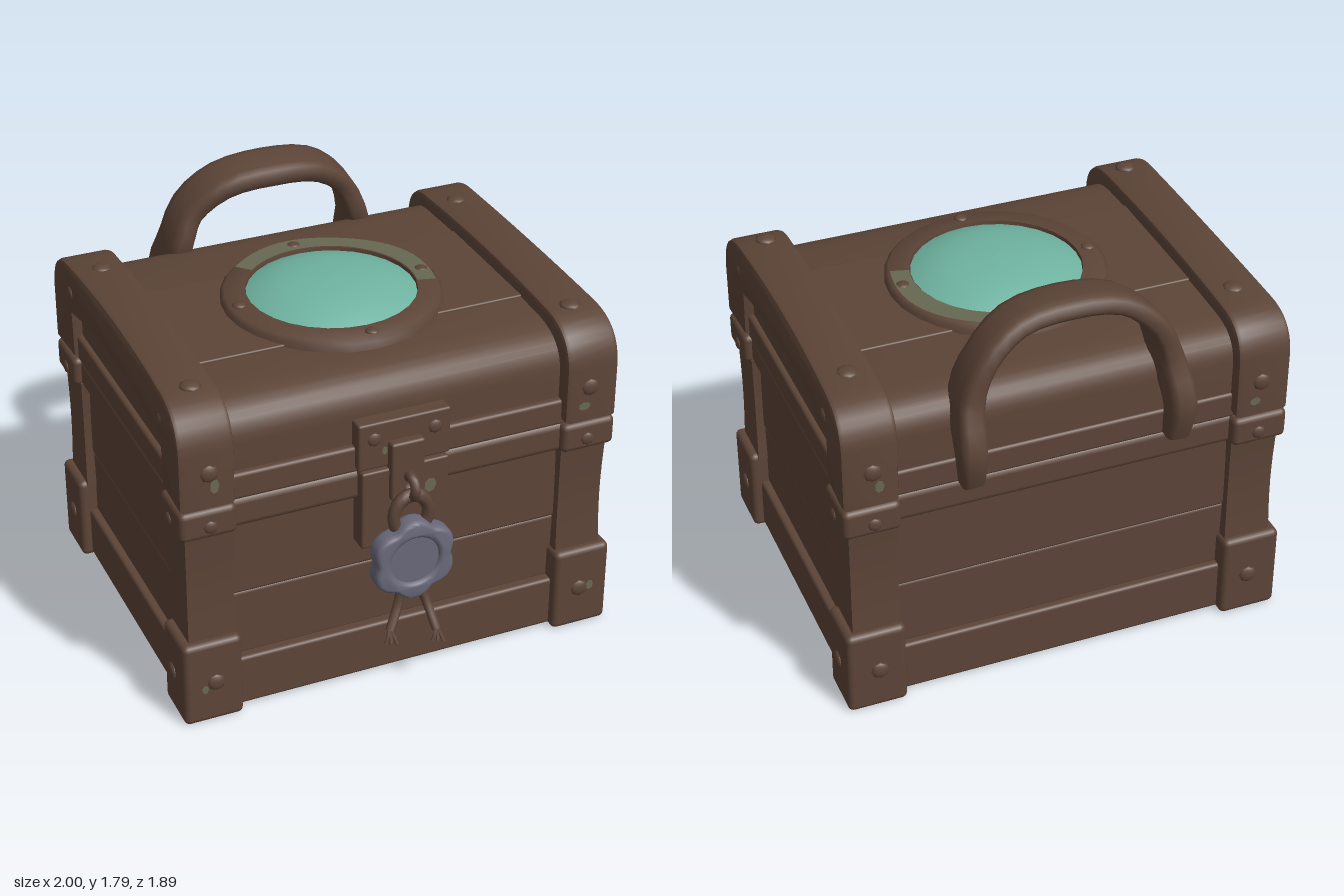
import * as THREE from 'three';
import { toCreasedNormals } from 'three/addons/utils/BufferGeometryUtils.js';
import { RoundedBoxGeometry } from 'three/addons/geometries/RoundedBoxGeometry.js';

export function createModel() {
  const chest = new THREE.Group();
  chest.name = 'chest';
  const mat = (name, color) => {
    const m = new THREE.MeshStandardMaterial({ color });
    m.name = name;
    return m;
  };
  const brown = mat('brown wood', 0x5c4437);
  const glass = mat('teal glass', 0x6fb3a0);
  const wax = mat('grey wax', 0x69697a);
  const patina = mat('green patina', 0x676853);

  const add = (name, geo, material = brown) => {
    const mesh = new THREE.Mesh(geo, material);
    mesh.name = name;
    chest.add(mesh);
    return mesh;
  };
  // Rounded box given by its extents
  const box = (name, x0, x1, y0, y1, z0, z1, r = 0.015) => {
    const g = new RoundedBoxGeometry(x1 - x0, y1 - y0, z1 - z0, 2, r);
    g.translate((x0 + x1) / 2, (y0 + y1) / 2, (z0 + z1) / 2);
    return add(name, g);
  };
  // Low domed stud facing along a direction
  const stud = (x, y, z, dir, r = 0.04) => {
    const g = new THREE.SphereGeometry(r, 8, 4, 0, Math.PI * 2, 0, Math.PI / 2);
    g.scale(1, 0.45, 1);
    const m = add('stud', g);
    m.quaternion.setFromUnitVectors(new THREE.Vector3(0, 1, 0), new THREE.Vector3(...dir));
    m.position.set(x, y, z);
  };
  // Extrude a (z, y) outline along x; pinch draws the outer sides in at mid depth
  const extrudeX = (name, shape, x0, x1, bevel, pinch) => {
    const g = new THREE.ExtrudeGeometry(shape, {
      depth: x1 - x0 - 2 * bevel, curveSegments: 8,
      bevelSize: bevel, bevelThickness: bevel, bevelOffset: -bevel, bevelSegments: 2,
    });
    g.rotateY(-Math.PI / 2);
    g.translate(x1 - bevel, 0, 0);
    const p = g.attributes.position;
    for (let i = 0; i < p.count; i++) {
      const x = p.getX(i);
      if (Math.abs(x) > 0.85) p.setX(i, x - Math.sign(x) * pinch * (1 - ((p.getZ(i) + 0.055) / 0.79) ** 2));
    }
    return add(name, toCreasedNormals(g, 0.7));
  };

  // Stacked body boards and rails
  box('baseBoard', -0.94, 0.94, 0.015, 0.25, -0.8, 0.7);
  box('lowerPlank', -0.905, 0.905, 0.24, 0.555, -0.765, 0.655);
  box('upperPlank', -0.91, 0.91, 0.55, 0.91, -0.77, 0.66);
  box('rimRail', -0.94, 0.94, 0.9, 1.04, -0.8, 0.7, 0.03);
  box('lidRail', -0.945, 0.945, 1.03, 1.15, -0.8, 0.695, 0.015);

  // Lid core and raised top plank
  const core = new THREE.Shape();
  core.moveTo(0.665, 1.03);
  core.lineTo(0.665, 1.27);
  core.quadraticCurveTo(0.66, 1.42, 0.47, 1.435);
  core.quadraticCurveTo(-0.05, 1.46, -0.62, 1.435);
  core.quadraticCurveTo(-0.78, 1.43, -0.79, 1.3);
  core.lineTo(-0.79, 1.03);
  extrudeX('lidCore', core, -0.92, 0.92, 0.01, 0.005);
  box('lidTopPlank', -0.74, 0.74, 1.40, 1.452, -0.36, 0.3, 0.008);

  // Arched lid bands
  const band = new THREE.Shape();
  band.moveTo(0.735, 1.05);
  band.lineTo(0.735, 1.3);
  band.quadraticCurveTo(0.725, 1.475, 0.53, 1.495);
  band.quadraticCurveTo(-0.05, 1.532, -0.66, 1.495);
  band.quadraticCurveTo(-0.83, 1.485, -0.845, 1.33);
  band.lineTo(-0.845, 1.05);
  band.lineTo(-0.62, 1.05);
  band.lineTo(-0.63, 1.26);
  band.quadraticCurveTo(-0.06, 1.37, 0.5, 1.26);
  band.lineTo(0.51, 1.05);

  for (const s of [-1, 1]) {
    const span = (a, b) => (s > 0 ? [a, b] : [-b, -a]);
    extrudeX('lidBand', band, ...span(0.735, 0.975), 0.02, 0.018);
    for (const z of [0.53, -0.55]) stud(s * 0.84, 1.496, z, [0, 1, 0], 0.045);
    for (const z of [0.52, -0.62]) stud(s * 0.963, 1.37, z, [s, 0, 0], 0.033);

    // Corner hardware at front and back
    for (const f of [1, -1]) {
      const zs = f > 0 ? [0.5, 0.735] : [-0.85, -0.61];
      box('cornerFoot', ...span(0.725, 0.985), 0.005, 0.4, zs[0], zs[1] + (f > 0 ? 0.01 : 0), 0.025);
      box('rimCorner', ...span(0.73, 0.975), 0.905, 1.04, ...zs, 0.025);
      // Post with a narrowed waist
      const post = new THREE.BoxGeometry(0.21, 0.54, 0.215, 1, 8, 1);
      const p = post.attributes.position;
      for (let i = 0; i < p.count; i++) {
        const k = Math.cos((p.getY(i) / 0.54) * Math.PI);
        p.setX(i, p.getX(i) * (1 - 0.04 * k));
        p.setZ(i, p.getZ(i) * (1 - 0.1 * k));
      }
      post.translate(s * 0.843, 0.65, f > 0 ? 0.6 : -0.71);
      add('cornerPost', toCreasedNormals(post, 0.6));

      const zf = f > 0 ? 0.735 : -0.85;
      stud(s * 0.845, 0.2, zf + (f > 0 ? 0.008 : 0), [0, 0, f]);
      stud(s * 0.845, 0.96, zf, [0, 0, f], 0.03);
      stud(s * 0.845, 1.21, f > 0 ? 0.733 : -0.843, [0, 0, f]);
      const zc = f > 0 ? 0.6 : -0.72;
      stud(s * 0.983, 0.2, zc, [s, 0, 0]);
      stud(s * 0.973, 0.955, zc, [s, 0, 0], 0.03);
    }
  }

  // Porthole in the lid
  const lathe = (pts, n) => new THREE.LatheGeometry(pts.map((q) => new THREE.Vector2(...q)), n);
  const ring = lathe([[0.475, 1.4], [0.472, 1.47], [0.455, 1.487], [0.365, 1.492], [0.357, 1.43]], 28);
  add('portholeRing', toCreasedNormals(ring, 0.8)).position.z = -0.02;
  const dome = lathe([[0.364, 1.475], [0.3, 1.508], [0.22, 1.531], [0.12, 1.546], [0, 1.551]], 28);
  add('portholeGlass', dome, glass).position.z = -0.02;
  for (let i = 0; i < 4; i++) {
    const a = (i * Math.PI) / 2;
    stud(0.417 * Math.cos(a), 1.49, -0.02 + 0.417 * Math.sin(a), [0, 1, 0], 0.03);
  }
  // Patina arc whose outer edge wanders
  const stain = new THREE.RingGeometry(0.368, 0.458, 24, 1, -0.26, 2.6);
  const sp = stain.attributes.position;
  for (let i = 25; i < 50; i++) {
    const k = 1 - 0.012 * (1 + Math.sin(i * 0.55));
    sp.setXY(i, sp.getX(i) * k, sp.getY(i) * k);
  }
  stain.rotateX(-Math.PI / 2);
  add('ringPatina', stain, patina).position.set(0, 1.495, -0.02);

  // Small worn patches on front and back
  for (const [x, y, z, w, h] of [[-0.825, 1.15, 0.738, 0.02, 0.035], [0.82, 1.125, 0.738, 0.028, 0.02],
    [-0.895, 0.175, 0.748, 0.015, 0.022], [0.895, 0.205, 0.748, 0.018, 0.025],
    [0.11, 0.925, 0.748, 0.028, 0.035], [-0.09, 1.13, 0.733, 0.012, 0.02],
    [-0.82, 1.12, -0.848, 0.025, 0.02], [0.82, 1.14, -0.848, 0.02, 0.03]]) {
    const g = new THREE.CircleGeometry(1, 7);
    g.scale(w, h, 1);
    if (z < 0) g.rotateY(Math.PI);
    add('wornPatch', g, patina).position.set(x, y, z);
  }

  // Carrying handle: flattened strap swept along an arch
  const half = [[0.445, 1.08, -0.875, 0.05, 0.045], [0.452, 1.25, -0.885, 0.058, 0.075], [0.43, 1.42, -0.78, 0.052, 0.115],
    [0.365, 1.59, -0.775, 0.045, 0.105], [0.22, 1.708, -0.745, 0.046, 0.11], [0, 1.738, -0.735, 0.047, 0.115]];
  const all = [...half, ...half.slice(0, 5).reverse().map(([x, ...r]) => [-x, ...r])];
  const curve = new THREE.CatmullRomCurve3(all.map((q) => new THREE.Vector3(q[0], q[1], q[2])));
  const steps = 30, sides = 12, verts = [], idx = [];
  for (let i = 0; i <= steps; i++) {
    const t = i / steps, u = t * 10, k = Math.min(9, Math.floor(u));
    const P = curve.getPoint(t), T = curve.getTangent(t);
    const size = (c) => THREE.MathUtils.lerp(all[k][c], all[k + 1][c], u - k);
    const W = new THREE.Vector3(0, -0.15, 1);
    W.addScaledVector(T, -W.dot(T)).normalize();
    const N = W.clone().cross(T);
    for (let j = 0; j < sides; j++) {
      const a = ((j + 0.5) / sides) * Math.PI * 2;
      const sq = (v) => Math.sign(v) * Math.sqrt(Math.abs(v));
      const v = P.clone().addScaledVector(N, size(3) * sq(Math.cos(a))).addScaledVector(W, size(4) * sq(Math.sin(a)));
      verts.push(v.x, v.y, v.z);
      if (i < steps) {
        const A = i * sides + j, B = i * sides + ((j + 1) % sides);
        idx.push(A, B, A + sides, B, B + sides, A + sides);
      }
    }
  }
  for (let j = 1; j < sides - 1; j++) {
    const e = steps * sides;
    idx.push(0, j + 1, j, e, e + j, e + j + 1);
  }
  const strap = new THREE.BufferGeometry();
  strap.setAttribute('position', new THREE.Float32BufferAttribute(verts, 3));
  strap.setIndex(idx);
  add('handle', toCreasedNormals(strap, 0.9));

  // Latch plates, hasp and staple
  box('upperLatchPlate', -0.205, 0.205, 1.05, 1.265, 0.64, 0.73, 0.01);
  box('lowerLatchPlate', -0.195, 0.195, 0.68, 1.045, 0.64, 0.745, 0.01);
  box('hasp', -0.075, 0.075, 0.9, 1.17, 0.7, 0.77, 0.012);
  for (const s of [-1, 1]) stud(s * 0.135, 1.19, 0.728, [0, 0, 1], 0.032);
  const staple = add('staple', new THREE.TorusGeometry(0.045, 0.022, 8, 14));
  staple.rotation.y = Math.PI / 2;
  staple.position.set(0, 0.975, 0.795);
  const loop = new THREE.TorusGeometry(0.078, 0.027, 8, 20);
  loop.scale(1, 1.2, 1);
  add('cordLoop', loop).position.set(0, 0.84, 0.8);

  // Six-lobed wax seal with a sunken face
  const lobes = new THREE.Shape();
  for (let i = 0; i < 60; i++) {
    const a = (i / 60) * Math.PI * 2;
    const r = 0.162 + 0.028 * Math.sqrt(Math.cos(3 * (a - Math.PI / 2)) ** 2 + 0.02);
    lobes[i ? 'lineTo' : 'moveTo'](r * Math.cos(a), r * Math.sin(a));
  }
  lobes.holes.push(new THREE.Path().absarc(0, 0, 0.108, 0, Math.PI * 2, true));
  const rim = new THREE.ExtrudeGeometry(lobes, {
    depth: 0.04, bevelSize: 0.018, bevelThickness: 0.025, bevelOffset: -0.018, bevelSegments: 3, curveSegments: 24,
  });
  add('sealRim', toCreasedNormals(rim, 0.8), wax).position.set(0, 0.642, 0.795);
  const face = new THREE.CylinderGeometry(0.14, 0.14, 0.06, 28);
  face.rotateX(Math.PI / 2);
  add('sealFace', face, wax).position.set(0, 0.642, 0.813);

  // Hanging cords with frayed ends
  const tube = (name, pts, r) => add(name, new THREE.TubeGeometry(
    new THREE.CatmullRomCurve3(pts.map((q) => new THREE.Vector3(...q))), 8, r, 6));
  for (const [x0, x1, x2, y2, z2] of [[-0.04, -0.065, -0.125, 0.34, 0.88], [0.02, 0.06, 0.085, 0.3, 0.89]]) {
    tube('cord', [[x0, 0.52, 0.81], [x1, 0.42, 0.825], [x2, y2, z2]], 0.02);
    for (const d of [-1, 0, 1]) {
      tube('cordFray', [[x2, y2 + 0.01, z2 - 0.005], [x2 + d * 0.013, y2 - 0.02, z2 + 0.012],
        [x2 + d * 0.022 - 0.005, y2 - 0.045, z2 + 0.03 + d * 0.012]], 0.008);
    }
  }
  return chest;
}
